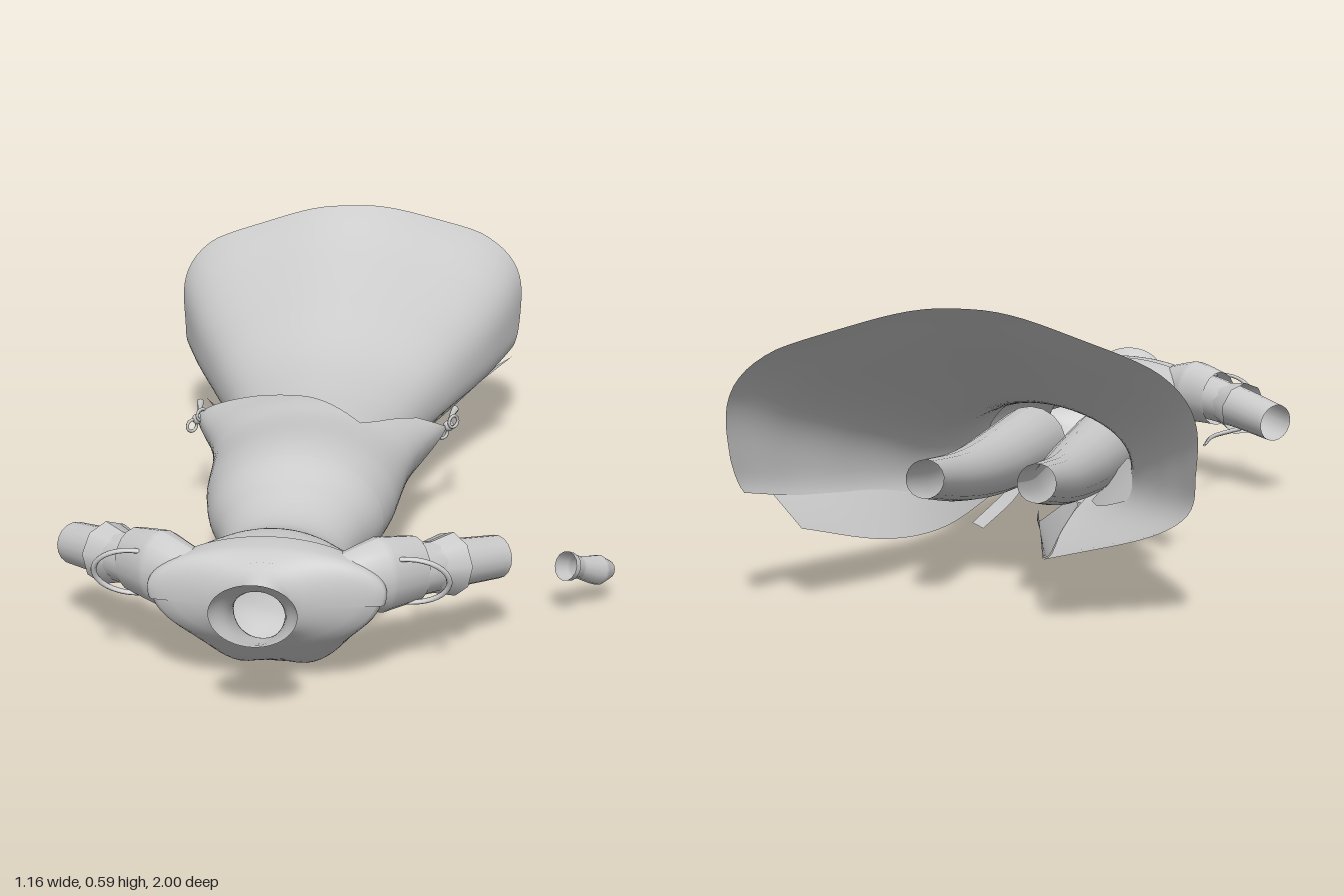
import * as THREE from 'three';
import { mergeVertices } from 'three/addons/utils/BufferGeometryUtils.js';

const CX = -0.105; // centre line of the body
const mat = new THREE.MeshStandardMaterial({ color: 0xcccccc, side: THREE.DoubleSide });
const V = (x, y, z) => new THREE.Vector3(x, y, z);

// Smooth lookup in rows sorted by a descending first column.
function rowAt(rows, z) {
  let i = 0;
  while (i < rows.length - 2 && z < rows[i + 1][0]) i++;
  const t = THREE.MathUtils.clamp((rows[i][0] - z) / (rows[i][0] - rows[i + 1][0]), 0, 1);
  const a = rows[Math.max(i - 1, 0)], b = rows[i], c = rows[i + 1], d = rows[Math.min(i + 2, rows.length - 1)];
  return b.map((p, k) => p + 0.5 * t * (c[k] - a[k] + t * (2 * a[k] - 5 * p + 4 * c[k] - d[k] + t * (3 * (p - c[k]) + d[k] - a[k]))));
}

// Straight-line lookup in [angle, value] pairs.
function linear(pairs, x) {
  let i = 0;
  while (i < pairs.length - 2 && x > pairs[i + 1][0]) i++;
  const [a, b] = [pairs[i], pairs[i + 1]];
  return THREE.MathUtils.lerp(a[1], b[1], (x - a[0]) / (b[0] - a[0]));
}

// Grid surface from a function of u, v in 0..1.
function surface(nu, nv, fn) {
  const pos = [], idx = [];
  for (let j = 0; j <= nv; j++) {
    for (let i = 0; i <= nu; i++) {
      pos.push(...fn(i / nu, j / nv).toArray());
      if (i < nu && j < nv) {
        const a = j * (nu + 1) + i, b = a + nu + 1;
        idx.push(a, b, a + 1, a + 1, b, b + 1);
      }
    }
  }
  let g = new THREE.BufferGeometry();
  g.setAttribute('position', new THREE.Float32BufferAttribute(pos, 3));
  g.setIndex(idx);
  g = mergeVertices(g, 1e-5);
  g.computeVertexNormals();
  return g;
}

// Point on a cross-section row: z, half width, top, bottom, height of widest point.
function onSection(rows, z, deg, scale = 1) {
  const [, w, top, bottom, mid] = rowAt(rows, z);
  const a = THREE.MathUtils.degToRad(deg), s = Math.sin(a);
  return V(CX + w * scale * Math.cos(a), mid + s * scale * (s > 0 ? top - mid : mid - bottom), z);
}

// Tapered open tube along a curve, optionally taller than wide.
function limb(points, radii, sides = 18, tall = 1) {
  const n = 28, curve = new THREE.CatmullRomCurve3(points.map((p) => V(...p)));
  const g = new THREE.TubeGeometry(curve, n, 1, sides);
  const p = g.attributes.position, v = V();
  for (let i = 0; i < p.count; i++) {
    const t = Math.floor(i / (sides + 1)) / n, c = curve.getPointAt(t);
    const r = linear(radii.map((q, k) => [k / (radii.length - 1), q]), t);
    v.fromBufferAttribute(p, i).sub(c).multiplyScalar(r);
    v.y *= tall;
    v.add(c);
    p.setXYZ(i, v.x, v.y, v.z);
  }
  g.computeVertexNormals();
  return g;
}

// Cloth panel spanned between two edge curves.
function panel(a, b) {
  const A = new THREE.CatmullRomCurve3(a.map((p) => V(...p)));
  const B = new THREE.CatmullRomCurve3(b.map((p) => V(...p)));
  return surface(8, 20, (u, v) => A.getPoint(v).lerp(B.getPoint(v), u));
}

const BODY = [
  [1, 0.085, 0.29, 0.165, 0.23], [0.93, 0.053, 0.25, 0.145, 0.2], [0.87, 0.06, 0.265, 0.13, 0.2],
  [0.84, 0.13, 0.28, 0.115, 0.2], [0.81, 0.225, 0.29, 0.085, 0.2], [0.75, 0.21, 0.292, 0.03, 0.2],
  [0.68, 0.172, 0.285, -0.008, 0.18], [0.62, 0.145, 0.265, 0.01, 0.16], [0.55, 0.13, 0.247, 0.04, 0.15],
  [0.48, 0.135, 0.25, 0.045, 0.15], [0.4, 0.153, 0.275, 0.04, 0.16], [0.3, 0.19, 0.315, 0.04, 0.17],
  [0.2, 0.21, 0.325, 0.04, 0.18], [0, 0.225, 0.312, 0.05, 0.19], [-0.12, 0.25, 0.315, 0.06, 0.2],
  [-0.3, 0.31, 0.3, 0.08, 0.215],
];
const TRAIN = [
  [0.1, 0.185, 0.3, 0.06, 0.18], [-0.2, 0.2, 0.312, 0.06, 0.18], [-0.4, 0.245, 0.345, 0.06, 0.19],
  [-0.6, 0.325, 0.42, 0.07, 0.22], [-0.8, 0.41, 0.505, 0.09, 0.26], [-1, 0.475, 0.605, 0.12, 0.3],
];

// Hem positions along z, by angle round the body.
const OVERSKIRT_HEM = [[0, -0.25], [30, -0.17], [50, -0.05], [60, 0], [78, -0.07], [95, -0.135], [121, -0.195],
  [150, -0.235], [180, -0.27], [205, -0.28], [240, -0.1], [270, 0.1], [300, 0.12], [330, -0.1], [360, -0.25]];
const TRAIN_HEM = [[-20, -0.92], [0, -0.95], [45, -1], [90, -0.94], [140, -0.96], [180, -0.89], [215, -0.88], [250, -0.95]];

export function createModel() {
  const model = new THREE.Group();
  const add = (name, geometry, parent = model) => {
    const m = new THREE.Mesh(geometry, mat);
    m.name = name;
    parent.add(m);
    return m;
  };

  // Bodice with open neck
  add('bodice', surface(72, 60, (u, v) => {
    const z = 1 - 0.7 * v, p = onSection(BODY, z, u * 360);
    const bust = Math.exp(-(((z - 0.67) / 0.07) ** 2));
    if (p.y < 0.12) p.y += 0.016 * bust * Math.exp(-(((p.x - CX) / 0.035) ** 2));
    if (p.y < 0.15) p.x += Math.sign(p.x - CX) * 0.025 * bust * (0.15 - p.y) / 0.15;
    return p;
  }));
  add('shoulderCape', surface(40, 12, (u, v) => onSection(BODY, 0.85 - v * 0.1 * (0.75 + 0.25 * Math.sin(u * Math.PI)), -10 + u * 200, 1.03)));

  // Skirts
  add('overskirt', surface(72, 30, (u, v) => {
    const deg = u * 360;
    return onSection(BODY, THREE.MathUtils.lerp(0.3, linear(OVERSKIRT_HEM, deg), v), deg);
  }));
  add('train', surface(80, 36, (u, v) => {
    const deg = -20 + u * 270, z = THREE.MathUtils.lerp(0.1, linear(TRAIN_HEM, deg), v);
    const wave = 1 + 0.03 * v * v * Math.cos(THREE.MathUtils.degToRad((deg - 90) * 6));
    return onSection(TRAIN, z, deg, wave);
  }));
  add('trainCurl', panel([[-0.17, 0.07, -0.1], [-0.19, 0.07, -0.4], [-0.225, 0.085, -0.7], [-0.26, 0.13, -0.95]],
    [[-0.16, 0.09, -0.1], [-0.17, 0.11, -0.4], [-0.2, 0.15, -0.7], [-0.25, 0.22, -0.94]]));
  add('rightSkirtFold', panel([[-0.28, 0.18, -0.1], [-0.34, 0.2, -0.3], [-0.42, 0.2, -0.48]],
    [[-0.2, 0.08, -0.1], [-0.25, 0.1, -0.26], [-0.385, 0.165, -0.46]]));
  add('leftSkirtFold', panel([[0.07, 0.17, 0], [0.14, 0.18, -0.35], [0.24, 0.2, -0.63], [0.33, 0.23, -0.81]],
    [[0.03, 0.08, 0], [0.07, 0.065, -0.4], [0.13, 0.09, -0.65], [0.23, 0.15, -0.87]]));

  // Legs
  add('leftLeg', limb([[-0.01, 0.165, 0.15], [0.005, 0.175, -0.25], [0.005, 0.2, -0.52], [0, 0.245, -0.81]], [0.085, 0.07, 0.052, 0.038]));
  add('rightLeg', limb([[-0.19, 0.165, 0.15], [-0.19, 0.175, -0.25], [-0.205, 0.2, -0.52], [-0.22, 0.245, -0.81]], [0.085, 0.07, 0.052, 0.038]));

  // Arms with sleeves and trims, mirrored about the centre line
  for (const s of [1, -1]) {
    const arm = new THREE.Group();
    arm.name = s > 0 ? 'leftArm' : 'rightArm';
    model.add(arm);
    const P = (pts) => pts.map(([x, y, z]) => [CX + s * x, y, z]);
    add('upperArm', limb(P([[0.13, 0.21, 0.79], [0.21, 0.21, 0.735], [0.32, 0.198, 0.63], [0.44, 0.175, 0.505]]), [0.05, 0.056, 0.05, 0.045]), arm);
    add('sleevePuff', limb(P([[0.14, 0.215, 0.785], [0.21, 0.215, 0.735], [0.28, 0.207, 0.67]]), [0.045, 0.062, 0.054], 18, 1.25), arm);
    add('sleeveFrill', limb(P([[0.27, 0.205, 0.68], [0.32, 0.198, 0.63], [0.35, 0.193, 0.6]]), [0.052, 0.053, 0.066], 9), arm);
    const loop = add('sleeveLoop', new THREE.TorusGeometry(0.08, 0.006, 8, 32), arm);
    loop.scale.set(1, 0.7, 1);
    loop.rotation.x = 0.35;
    loop.position.set(CX + s * 0.275, 0.205, 0.735);
    add('sleeveRibbon', limb(P([[0.34, 0.14, 0.62], [0.285, 0.13, 0.56], [0.275, 0.125, 0.44]]), [0.006, 0.005, 0.003], 6), arm);

    // Hip tassel: knot, bow lobes and cord
    const tassel = new THREE.Group();
    tassel.name = 'hipTassel';
    tassel.position.set(CX + s * 0.3, 0.215, -0.25);
    model.add(tassel);
    add('knot', new THREE.SphereGeometry(0.013, 10, 8), tassel);
    for (const k of [1, -1]) {
      const bow = add('bow', new THREE.TorusGeometry(0.014, 0.004, 6, 14), tassel);
      bow.position.set(k * 0.012, k * 0.014, 0.01);
      bow.rotation.y = 0.8;
    }
    add('cord', limb([[0, 0, 0], [s * 0.003, 0.006, -0.05], [s * 0.01, 0.008, -0.11]], [0.005, 0.005, 0.009], 8), tassel);
  }

  // Flower cluster at the waist with trailing ribbon
  const flowers = new THREE.Group();
  flowers.name = 'waistFlowers';
  model.add(flowers);
  [[0.065, 0.07, 0.44], [0.045, 0.045, 0.46], [0.075, 0.1, 0.39], [0.045, 0.04, 0.41], [0.06, 0.07, 0.37]].forEach(([x, y, z], i) => {
    for (let k = 0; k < 6; k++) {
      const petal = add('petal', new THREE.SphereGeometry(0.017, 8, 6), flowers), a = k * Math.PI / 3 + i;
      petal.scale.set(1, 0.6, 1);
      petal.position.set(x + 0.018 * Math.cos(a), y - 0.006 * (k % 2) - 0.008 * Math.cos(a), z + 0.024 * Math.sin(a));
    }
    add('flowerCentre', new THREE.SphereGeometry(0.013, 8, 6), flowers).position.set(x + 0.004, y - 0.01, z);
  });
  add('waistRibbon', panel([[0.04, 0.045, 0.4], [0.02, 0.036, 0.1], [0.03, 0.022, -0.17]],
    [[0.055, 0.055, 0.4], [0.045, 0.05, 0.1], [0.055, 0.034, -0.17]]));

  // Detached cuff
  add('cuff', limb([[0.482, 0.112, 0.385], [0.505, 0.1, 0.355], [0.54, 0.08, 0.315], [0.57, 0.068, 0.28]], [0.028, 0.022, 0.026, 0.03, 0.018], 14, 1.1));
  add('cuffRim', limb([[0.478, 0.115, 0.39], [0.488, 0.109, 0.378]], [0.029, 0.028], 14, 1.1));
  return model;
}
